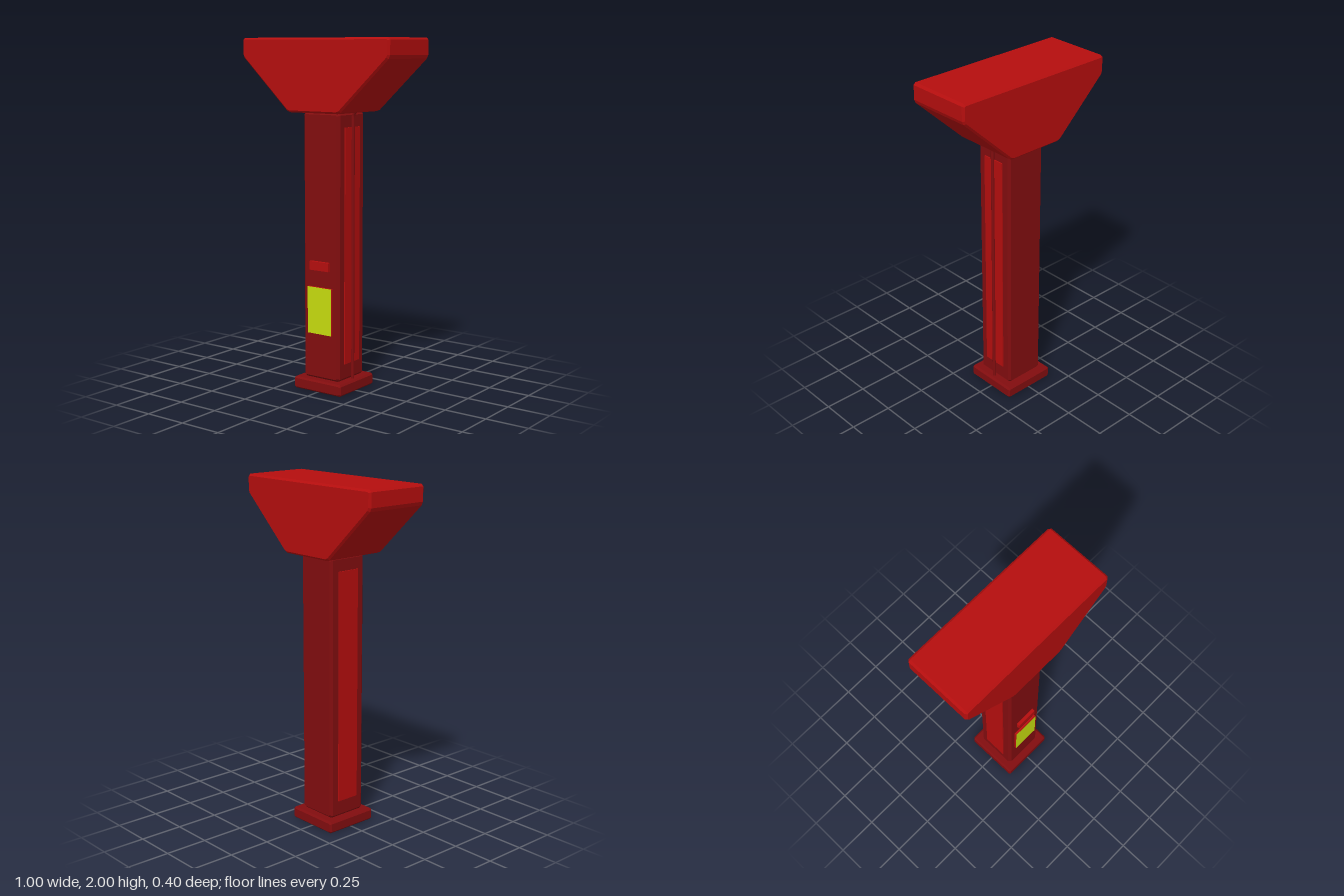
import * as THREE from 'three';

const brightRed = new THREE.MeshStandardMaterial({ name: 'bright red', color: 0xb50e0e });
const darkRed = new THREE.MeshStandardMaterial({ name: 'dark red', color: 0x820d0f });
const yellow = new THREE.MeshStandardMaterial({ name: 'yellow', color: 0xc6dc0f });

// Extrudes an outline along z, centred, with every corner and rim chamfered by c
function chamferedPrism(points, depth, c) {
  const pts = points.map(([x, y]) => new THREE.Vector2(x, y));
  const cut = [];
  pts.forEach((p, i) => {
    for (const q of [pts.at(i - 1), pts[(i + 1) % pts.length]]) {
      cut.push(p.clone().add(q.clone().sub(p).setLength(c)));
    }
  });
  const geometry = new THREE.ExtrudeGeometry(new THREE.Shape(cut), {
    depth: depth - 2 * c, bevelEnabled: true, bevelSegments: 1,
    bevelSize: c * 0.9, bevelThickness: c, bevelOffset: -c * 0.9,
  });
  return geometry.translate(0, 0, c - depth / 2);
}

const block = (halfWidth, y0, y1, depth, c) => chamferedPrism(
  [[-halfWidth, y0], [halfWidth, y0], [halfWidth, y1], [-halfWidth, y1]], depth, c);

export function createModel() {
  const group = new THREE.Group();
  const add = (name, geometry, material, x = 0, y = 0, z = 0) => {
    const mesh = new THREE.Mesh(geometry, material);
    mesh.name = name;
    mesh.position.set(x, y, z);
    group.add(mesh);
  };

  // Foot and column
  add('base', block(0.165, 0, 0.068, 0.33, 0.01), darkRed);
  add('post', block(0.124, 0.067, 1.592, 0.248, 0.015), darkRed);

  // Flared head
  add('head', chamferedPrism([
    [-0.175, 1.59], [0.175, 1.59], [0.5, 1.895], [0.5, 2], [-0.5, 2], [-0.5, 1.895],
  ], 0.4, 0.012), brightRed);

  // Thin panels on both sides of the column
  for (const side of [1, -1]) {
    add(side > 0 ? 'leftPanel' : 'rightPanel',
      new THREE.BoxGeometry(0.012, 1.345, 0.14), brightRed, side * 0.124, 0.8375, 0);
  }

  // Conduit on one side, bending outwards under the head
  const path = new THREE.CurvePath();
  const a = new THREE.Vector3(0.133, 0.06, 0);
  const b = new THREE.Vector3(0.133, 1.565, 0);
  path.add(new THREE.LineCurve3(a, b));
  path.add(new THREE.QuadraticBezierCurve3(b,
    new THREE.Vector3(0.133, 1.585, 0), new THREE.Vector3(0.155, 1.6, 0)));
  add('conduit', new THREE.TubeGeometry(path, 80, 0.01, 10), darkRed);

  // Slot cover and notice on the front
  add('slotCover', new THREE.BoxGeometry(0.13, 0.05, 0.022), brightRed, 0, 0.728, 0.133);
  add('noticeBacking', new THREE.BoxGeometry(0.166, 0.27, 0.014), brightRed, 0, 0.47, 0.13);
  add('notice', new THREE.PlaneGeometry(0.166, 0.27), yellow, 0, 0.47, 0.1385);

  return group;
}
